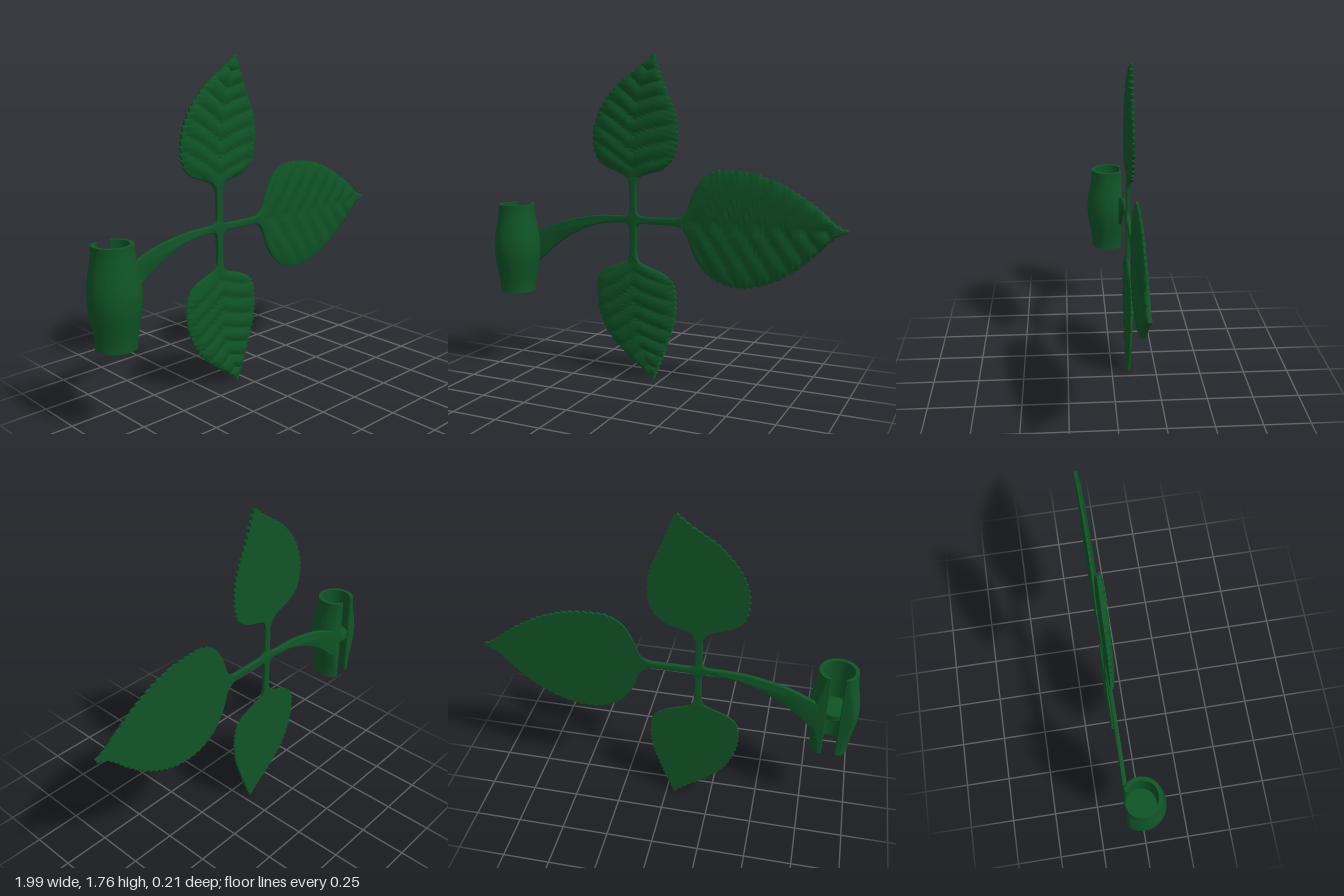
import * as THREE from 'three';
import { toCreasedNormals } from 'three/addons/utils/BufferGeometryUtils.js';

const BACK = -0.105; // flat back plane shared by stem, leaves and socket

// Skin a list of equal-length closed rings; caps is an optional list of extra triangles
function loft(rings, flip, caps = []) {
  const n = rings[0].length, index = [...caps];
  for (let r = 0; r < rings.length - 1; r++) {
    for (let k = 0; k < n; k++) {
      const a = r * n + k, b = r * n + (k + 1) % n, c = a + n, d = b + n;
      if (flip) index.push(a, c, b, b, c, d);
      else index.push(a, b, c, b, d, c);
    }
  }
  const geo = new THREE.BufferGeometry();
  geo.setAttribute('position', new THREE.Float32BufferAttribute(rings.flat(2), 3));
  geo.setIndex(index);
  return toCreasedNormals(geo, 0.9);
}

const curve = pts => new THREE.CatmullRomCurve3(pts.map(([x, y]) => new THREE.Vector3(x, y, 0)), false, 'centripetal');

// Serrated leaf: left and right outlines and midrib, each from base to tip
function leafGeometry({ left, right, mid, teeth, veins, sweep }) {
  const L = curve(left), R = curve(right), M = curve(mid);
  for (const c of [L, R, M]) c.arcLengthDivisions = 400;
  const base = M.getPoint(0), axis = M.getPoint(1).sub(base);
  const length = axis.length();
  axis.normalize();
  const rows = teeth * 6, cols = 28, rings = [];
  for (let i = 0; i <= rows; i++) {
    const t = i / rows, m = M.getPointAt(t);
    // teeth lean towards the tip and fade out near the stalk
    const tooth = 0.013 * ((t * teeth) % 1 - 0.5) * THREE.MathUtils.smoothstep(t, 0.22, 0.32) * (t < 0.99 ? 1 : 0);
    const edge = c => {
      const p = c.getPointAt(t), out = p.clone().sub(m).normalize();
      return p.addScaledVector(out, tooth);
    };
    const l = edge(L), r = edge(R), ring = [];
    const body = THREE.MathUtils.smoothstep(t, 0.03, 0.25) * (1 - THREE.MathUtils.smoothstep(t, 0.9, 1));
    for (let j = 0; j <= cols; j++) {
      const s = Math.sin((j / cols - 0.5) * Math.PI), q = Math.abs(s);
      const p = m.clone().lerp(s < 0 ? l : r, q);
      const u = p.clone().sub(base).dot(axis) / length, v = p.distanceTo(m) / length;
      // pillows between side veins, plus a shallow midrib groove
      const pillow = Math.pow(Math.abs(Math.sin(Math.PI * veins * (u - sweep * v + 0.5 * v * v))), 0.7);
      const relief = (0.012 * pillow - 0.004 * Math.exp(-((v / 0.02) ** 2))) * (1 - q ** 5);
      const h = 0.012 + 0.007 * (1 - q ** 8) + relief * body;
      ring.push([p.x, p.y, BACK + h]);
    }
    ring.push([r.x, r.y, BACK], [l.x, l.y, BACK]);
    rings.push(ring);
  }
  return loft(rings, false);
}

// Hollow bulging socket with a flattened, slotted back
function socketGeometry() {
  const n = 72, steps = 32, bore = 0.08, flat = 0.08, a0 = Math.asin(0.035 / bore);
  const rings = [], caps = [];
  for (let i = 0; i <= steps; i++) {
    const u = i / steps, y = 0.45 + 0.5 * u;
    const radius = 0.1 + 0.03 * Math.sin(Math.PI * u) ** 2;
    const outer = [], inner = [];
    for (let k = 0; k <= n; k++) {
      const a = a0 + (2 * Math.PI - 2 * a0) * k / n, c = Math.cos(a);
      const ro = c > 0 ? Math.min(radius, flat / c) : radius;
      outer.push([ro * Math.sin(a), y, -ro * c]);
      inner.unshift([bore * Math.sin(a), y, -bore * c]);
    }
    rings.push([...outer, ...inner]);
  }
  const size = 2 * n + 2, top = steps * size;
  for (let k = 0; k < n; k++) {
    const o = k, p = k + 1, i = size - 1 - k, j = size - 2 - k;
    caps.push(o, p, i, p, j, i);
    caps.push(top + o, top + i, top + p, top + p, top + i, top + j);
  }
  return loft(rings, true, caps);
}

// Curved branch and the crossing stalks, as one filleted outline
function stemGeometry() {
  const s = new THREE.Shape();
  const v = pts => pts.map(([x, y]) => new THREE.Vector2(x, y));
  s.moveTo(-0.8, 0.765);
  s.splineThru(v([[-0.74, 0.8], [-0.6, 0.86], [-0.4, 0.902], [-0.225, 0.91]]));
  s.quadraticCurveTo(-0.185, 0.91, -0.185, 0.95);
  s.lineTo(-0.185, 1.06);
  s.quadraticCurveTo(-0.185, 1.1, -0.2, 1.118);
  s.lineTo(-0.132, 1.118);
  s.quadraticCurveTo(-0.147, 1.1, -0.147, 1.06);
  s.lineTo(-0.147, 0.95);
  s.quadraticCurveTo(-0.147, 0.91, -0.107, 0.91);
  s.lineTo(0.06, 0.91);
  s.quadraticCurveTo(0.1, 0.91, 0.125, 0.925);
  s.lineTo(0.125, 0.857);
  s.quadraticCurveTo(0.1, 0.872, 0.06, 0.872);
  s.lineTo(-0.107, 0.872);
  s.quadraticCurveTo(-0.147, 0.872, -0.147, 0.832);
  s.lineTo(-0.147, 0.72);
  s.quadraticCurveTo(-0.147, 0.68, -0.132, 0.66);
  s.lineTo(-0.2, 0.66);
  s.quadraticCurveTo(-0.185, 0.68, -0.185, 0.72);
  s.lineTo(-0.185, 0.832);
  s.quadraticCurveTo(-0.185, 0.872, -0.225, 0.872);
  s.splineThru(v([[-0.4, 0.85], [-0.6, 0.755], [-0.74, 0.64], [-0.8, 0.6]]));
  s.closePath();
  const geo = new THREE.ExtrudeGeometry(s, {
    depth: 0.012, bevelThickness: 0.005, bevelSize: 0.005, bevelOffset: -0.005, bevelSegments: 3, curveSegments: 10,
  });
  geo.translate(0, 0, BACK + 0.005);
  return toCreasedNormals(geo.deleteAttribute('uv'), 0.7);
}

const LEAVES = {
  sideLeaf: {
    left: [[0.1, 0.91], [0.14, 0.945], [0.18, 1.045], [0.23, 1.125], [0.3, 1.168], [0.4, 1.175], [0.55, 1.155], [0.7, 1.095], [0.85, 1.0], [0.94, 0.925], [0.995, 0.9]],
    right: [[0.1, 0.872], [0.14, 0.835], [0.18, 0.735], [0.24, 0.645], [0.32, 0.59], [0.42, 0.568], [0.55, 0.585], [0.7, 0.655], [0.82, 0.75], [0.93, 0.86], [0.995, 0.89]],
    mid: [[0.1, 0.891], [0.5, 0.886], [0.995, 0.895]],
    teeth: 30, veins: 8, sweep: 0.85,
  },
  upperLeaf: {
    left: [[-0.185, 1.08], [-0.205, 1.12], [-0.25, 1.145], [-0.33, 1.175], [-0.385, 1.22], [-0.41, 1.32], [-0.395, 1.42], [-0.345, 1.52], [-0.25, 1.625], [-0.13, 1.705], [-0.05, 1.768]],
    right: [[-0.147, 1.08], [-0.13, 1.12], [-0.09, 1.138], [0, 1.165], [0.065, 1.22], [0.092, 1.32], [0.083, 1.45], [0.04, 1.56], [0, 1.655], [-0.027, 1.73], [-0.04, 1.768]],
    mid: [[-0.166, 1.08], [-0.165, 1.3], [-0.14, 1.52], [-0.045, 1.768]],
    teeth: 28, veins: 8, sweep: 0.6,
  },
  lowerLeaf: {
    left: [[-0.147, 0.7], [-0.13, 0.66], [-0.09, 0.64], [0, 0.61], [0.065, 0.56], [0.088, 0.46], [0.078, 0.34], [0.045, 0.23], [0.005, 0.12], [-0.027, 0.04], [-0.04, 0.006]],
    right: [[-0.185, 0.7], [-0.205, 0.665], [-0.25, 0.645], [-0.33, 0.61], [-0.38, 0.56], [-0.392, 0.47], [-0.375, 0.36], [-0.315, 0.235], [-0.22, 0.14], [-0.12, 0.065], [-0.05, 0.006]],
    mid: [[-0.166, 0.7], [-0.16, 0.48], [-0.13, 0.25], [-0.045, 0.006]],
    teeth: 28, veins: 8, sweep: 0.6,
  },
};

export function createModel() {
  const group = new THREE.Group();
  const green = new THREE.MeshStandardMaterial({ color: 0x0f5426 });
  green.name = 'leafGreen';
  const add = (name, geo, parent = group) => {
    const mesh = new THREE.Mesh(geo, green);
    mesh.name = name;
    parent.add(mesh);
  };

  for (const [name, spec] of Object.entries(LEAVES)) add(name, leafGeometry(spec));
  add('stem', stemGeometry());

  // Socket with a dividing wall halfway up the bore
  const socket = new THREE.Group();
  socket.name = 'socket';
  socket.position.set(-0.87, 0, -0.025);
  add('socketShell', socketGeometry(), socket);
  add('socketDivider', new THREE.CylinderGeometry(0.08, 0.08, 0.03, 48).translate(0, 0.7, 0), socket);
  group.add(socket);
  return group;
}
